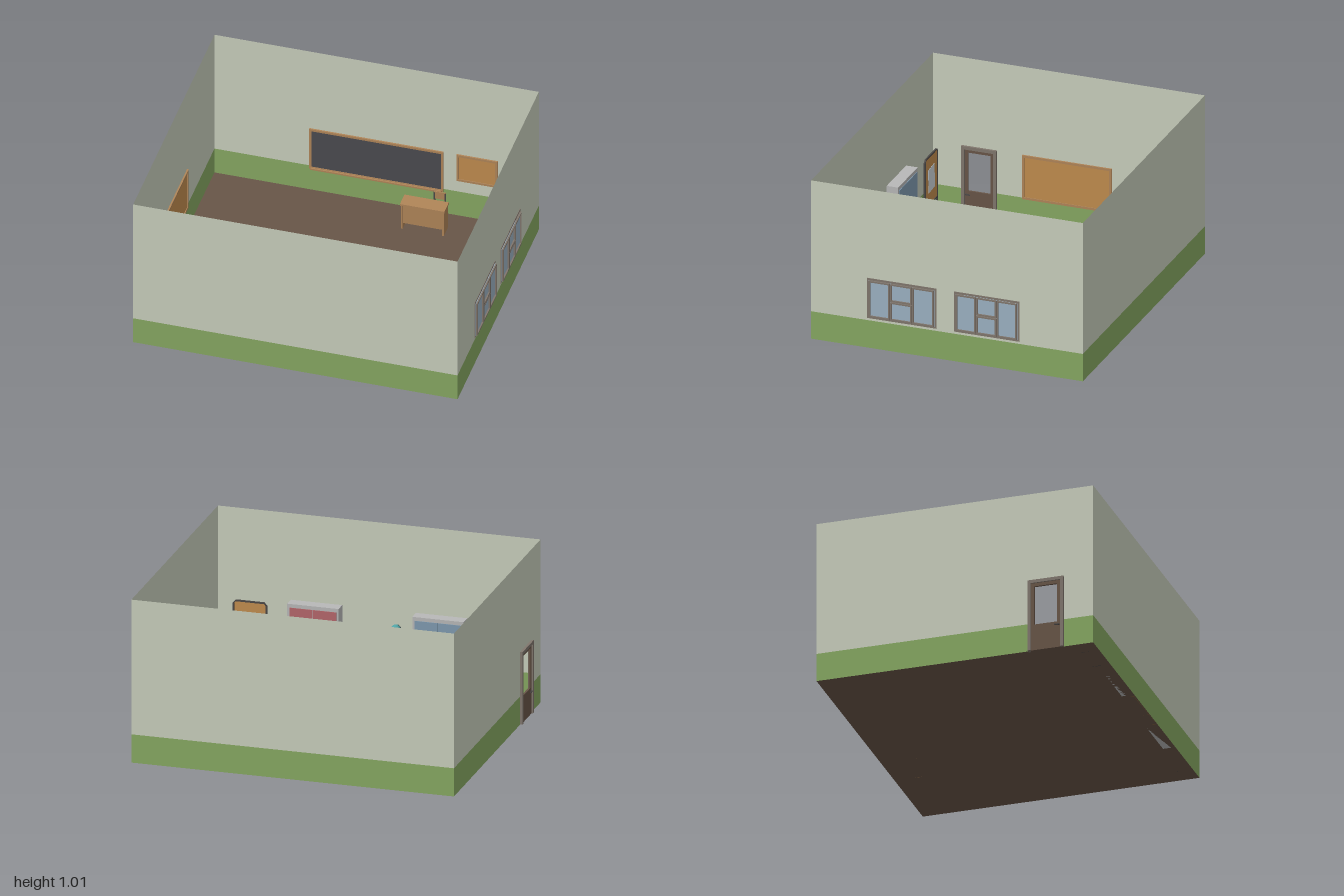
import * as THREE from 'three';

const WALL = 0xc8cebc, GREEN = 0x86a862, FLOOR = 0x685547, WOOD = 0xb08558, DARKWOOD = 0x80603f;
const CORK = 0xc08c4e, TRIM = 0x80766d, GLASS = 0x9cb2c2, METAL = 0x4a4746, PAPER = 0xccd3d8, GREY = 0xb8b8b8;
const HX = 0.985, HZ = 0.85, H = 1.01, DADO = 0.175;

const mats = {};
const mat = (c) => (mats[c] ??= new THREE.MeshStandardMaterial({ color: c, side: THREE.DoubleSide }));

function add(parent, name, geometry, color, x = 0, y = 0, z = 0) {
  const m = new THREE.Mesh(geometry, mat(color));
  m.name = name;
  m.position.set(x, y, z);
  parent.add(m);
  return m;
}

// Box given by its limits on each axis
function box(parent, name, color, x0, x1, y0, y1, z0, z1) {
  return add(parent, name, new THREE.BoxGeometry(x1 - x0, y1 - y0, z1 - z0), color,
    (x0 + x1) / 2, (y0 + y1) / 2, (z0 + z1) / 2);
}

function group(parent, name, x = 0, y = 0, z = 0, ry = 0) {
  const g = new THREE.Group();
  g.name = name;
  g.position.set(x, y, z);
  g.rotation.y = ry;
  parent.add(g);
  return g;
}

// Rectangular frame facing +z, with outer size w x h from the corner (x0, y0)
function frame(parent, name, color, x0, y0, w, h, t, z0, z1) {
  const s = new THREE.Shape().moveTo(x0, y0).lineTo(x0 + w, y0).lineTo(x0 + w, y0 + h).lineTo(x0, y0 + h).closePath();
  s.holes.push(new THREE.Path().moveTo(x0 + t, y0 + t).lineTo(x0 + t, y0 + h - t)
    .lineTo(x0 + w - t, y0 + h - t).lineTo(x0 + w - t, y0 + t).closePath());
  return add(parent, name, new THREE.ExtrudeGeometry(s, { depth: z1 - z0, bevelEnabled: false }), color, 0, 0, z0);
}

// Wall strip facing +z with a green lower band
function wallStrip(parent, a, b, y0 = 0) {
  const panel = (name, color, lo, hi) =>
    add(parent, name, new THREE.PlaneGeometry(b - a, hi - lo), color, (a + b) / 2, (lo + hi) / 2, 0);
  if (y0 < DADO) panel('wallBase', GREEN, y0, DADO);
  panel('wallUpper', WALL, Math.max(y0, DADO), H);
}

// Framed board on a wall, centred on x
function board(parent, name, w, y0, y1, face, tray) {
  const g = group(parent, name);
  frame(g, 'boardFrame', WOOD, -w / 2, y0, w, y1 - y0, 0.014, 0.002, 0.012);
  box(g, 'boardFace', face, -w / 2 + 0.012, w / 2 - 0.012, y0 + 0.012, y1 - 0.012, 0.002, 0.007);
  if (tray) box(g, 'chalkTray', WOOD, -w / 2 + 0.01, w / 2 - 0.01, y0, y0 + 0.01, 0.01, 0.022);
  return g;
}

// Window facing +z, spanning a..b: a flat surround and three projecting casements
function windowUnit(parent, a, b) {
  const g = group(parent, 'window');
  const y0 = 0.19, y1 = 0.445, m = 0.012, w = (b - a - 2 * m) / 3;
  frame(g, 'windowSurround', TRIM, a, y0, b - a, y1 - y0, m + 0.004, -0.008, 0.003);
  box(g, 'glass', GLASS, a + m, b - m, y0 + m, y1 - m, -0.004, 0.006);
  for (let i = 0; i < 3; i++) {
    const x = a + m + i * w + 0.002;
    const rows = i === 1 ? [[y0 + m, 0.317], [0.321, y1 - m]] : [[y0 + m, y1 - m]];
    for (const [lo, hi] of rows) frame(g, 'casement', TRIM, x, lo, w - 0.004, hi - lo, 0.009, -0.008, 0.015);
  }
}

// Door in its frame, facing +z, with an open upper light
function door(parent) {
  const g = group(parent, 'door', 0.56, 0, 0);
  for (const s of [-1, 1]) {
    box(g, 'doorJamb', TRIM, s * 0.1 - 0.01, s * 0.1 + 0.01, 0, 0.45, -0.015, 0.015);
    box(g, 'doorStile', FLOOR, s * 0.08 - 0.01, s * 0.08 + 0.01, 0, 0.43, -0.006, 0.006);
    box(g, 'handleLever', METAL, 0.055, 0.085, 0.14, 0.147, s * 0.013 - 0.003, s * 0.013 + 0.003);
  }
  box(g, 'doorHead', TRIM, -0.11, 0.11, 0.43, 0.45, -0.015, 0.015);
  box(g, 'doorPanel', FLOOR, -0.07, 0.07, 0, 0.165, -0.006, 0.006);
  box(g, 'doorTopRail', FLOOR, -0.07, 0.07, 0.41, 0.43, -0.006, 0.006);
  box(g, 'handlePin', METAL, 0.077, 0.085, 0.14, 0.147, -0.013, 0.013);
}

// Free-standing pin board, front toward +z
function standBoard(parent, x) {
  const g = group(parent, 'standBoard', x, 0, 0.78, Math.PI);
  const w = 0.104, c = 0.018;
  const outline = (k) => new THREE.Shape().moveTo(-w + k, 0.15 + k).lineTo(w - k, 0.15 + k).lineTo(w - k, 0.465 - c)
    .lineTo(w - c, 0.465 - k).lineTo(-w + c, 0.465 - k).lineTo(-w + k, 0.465 - c).closePath();
  const rim = outline(0);
  rim.holes.push(outline(0.009));
  add(g, 'boardRim', new THREE.ExtrudeGeometry(rim, { depth: 0.01, bevelEnabled: false }), METAL, 0, 0, -0.005);
  add(g, 'corkPanel', new THREE.ExtrudeGeometry(outline(0.009), { depth: 0.004, bevelEnabled: false }), CORK, 0, 0, -0.002);
  add(g, 'paper', new THREE.BoxGeometry(0.1, 0.15, 0.002), PAPER, 0, 0.31, 0.004).rotation.z = 0.08;
  for (const s of [-1, 1]) {
    box(g, 'standLeg', METAL, s * 0.1 - 0.004, s * 0.1 + 0.004, 0, 0.15, -0.005, 0.005);
    box(g, 'standFoot', METAL, s * 0.1 - 0.004, s * 0.1 + 0.004, 0, 0.01, -0.04, 0.04);
  }
}

// Two-door cupboard, front toward +z
function cupboard(parent, x, color) {
  const g = group(parent, 'cupboard', x, 0, 0.808, Math.PI);
  box(g, 'cupboardBody', GREY, -0.157, 0.157, 0, 0.475, -0.038, 0.034);
  for (const s of [-1, 1]) {
    add(g, 'cupboardDoor', new THREE.BoxGeometry(0.142, 0.425, 0.004), color, s * 0.072, 0.24, 0.036);
    box(g, 'cupboardHandle', METAL, s * 0.016 - 0.004, s * 0.016 + 0.004, 0.215, 0.25, 0.037, 0.042);
  }
  add(g, 'paper', new THREE.BoxGeometry(0.095, 0.075, 0.002), PAPER, -0.075, 0.17, 0.039).rotation.z = -0.12;
}

// Bookcase with rows of books, front toward +z
function bookcase(parent) {
  const g = group(parent, 'bookcase', 0, 0, 0.808, Math.PI);
  const colors = [0x8b4a42, 0x4a6480, 0xb59a5c, 0x55704f, 0x6b5575, 0xb0a898];
  box(g, 'bookcaseBack', DARKWOOD, -0.207, 0.207, 0, 0.31, -0.038, -0.032);
  for (const x of [-0.202, -0.067, 0.067, 0.202]) box(g, 'upright', DARKWOOD, x - 0.005, x + 0.005, 0, 0.31, -0.034, 0.036);
  for (const y of [0.01, 0.11, 0.21, 0.31]) box(g, 'shelf', DARKWOOD, -0.207, 0.207, y - 0.005, y + 0.005, -0.034, 0.038);
  for (let row = 0; row < 3; row++) {
    for (let i = 0; i < 24; i++) {
      const k = (i * 7 + row * 5) % 11;
      if (k === 3) continue;
      const x = -0.196 + Math.floor(i / 8) * 0.134 + (i % 8) * 0.0155, y = 0.015 + row * 0.1;
      box(g, 'book', colors[k % 6], x, x + 0.0135, y, y + 0.058 + (k % 5) * 0.006, -0.03, 0.02 + (k % 3) * 0.004);
    }
  }
}

function globe(parent) {
  const g = group(parent, 'globe', -0.115, 0.315, 0.805);
  add(g, 'globeBase', new THREE.CylinderGeometry(0.01, 0.022, 0.008, 16), METAL, 0, 0.004, 0);
  add(g, 'globeStem', new THREE.CylinderGeometry(0.003, 0.003, 0.02, 8), METAL, 0, 0.014, 0);
  const tilt = group(g, 'tiltedBall', 0, 0.058, 0);
  tilt.rotation.z = 0.4;
  add(tilt, 'ball', new THREE.SphereGeometry(0.031, 20, 14), 0x4fa3a5);
  add(tilt, 'meridian', new THREE.TorusGeometry(0.034, 0.002, 6, 24, Math.PI), METAL).rotation.z = Math.PI / 2;
}

function desk(parent) {
  const g = group(parent, 'desk', 0.34, 0, -0.678);
  box(g, 'deskTop', WOOD, -0.135, 0.135, 0.17, 0.182, -0.048, 0.048);
  for (const s of [-1, 1]) box(g, 'deskSide', WOOD, s * 0.125 - 0.005, s * 0.125 + 0.005, 0, 0.17, -0.043, 0.043);
  box(g, 'deskFront', WOOD, -0.12, 0.12, 0.04, 0.17, 0.03, 0.038);
  box(g, 'drawers', DARKWOOD, -0.12, -0.045, 0.05, 0.17, -0.04, 0.03);
  // Chair tucked in behind the desk
  const c = group(parent, 'chair', 0.405, 0, -0.742);
  box(c, 'chairSeat', WOOD, -0.036, 0.036, 0.1, 0.108, -0.032, 0.036);
  box(c, 'chairBack', WOOD, -0.036, 0.036, 0.155, 0.205, -0.038, -0.032);
  for (const x of [-0.033, 0.033]) {
    box(c, 'backLeg', METAL, x - 0.004, x + 0.004, 0, 0.2, -0.04, -0.032);
    box(c, 'frontLeg', METAL, x - 0.004, x + 0.004, 0, 0.1, 0.026, 0.034);
  }
}

export function createModel() {
  const root = new THREE.Group();
  root.name = 'classroom';
  add(root, 'floor', new THREE.PlaneGeometry(2 * HX, 2 * HZ).rotateX(-Math.PI / 2), FLOOR);

  // Front and back walls
  const front = group(root, 'frontWall', 0, 0, HZ), back = group(root, 'backWall', 0, 0, -HZ);
  wallStrip(front, -HX, HX);
  wallStrip(back, -HX, HX);
  board(back, 'blackboard', 0.815, 0.16, 0.45, 0x4b4b50, true);
  board(back, 'smallPinBoard', 0.25, 0.26, 0.45, CORK).position.x = 0.612;

  // Left wall with windows, seen from outside (local x runs toward -z)
  const left = group(root, 'leftWall', HX, 0, 0, Math.PI / 2);
  wallStrip(left, -HZ, HZ);
  windowUnit(left, -0.5, -0.065);
  windowUnit(left, 0.045, 0.455);

  // Right wall, seen from outside (local x runs toward +z)
  const right = group(root, 'rightWall', -HX, 0, 0, -Math.PI / 2);
  wallStrip(right, -HZ, 0.46);
  wallStrip(right, 0.66, HZ);
  wallStrip(right, 0.46, 0.66, 0.44);
  door(right);
  const pin = board(right, 'longPinBoard', 0.56, 0.17, 0.45, CORK);
  pin.position.x = 0.01;
  pin.rotation.y = Math.PI;

  // Furniture
  standBoard(root, 0.768);
  standBoard(root, -0.768);
  cupboard(root, 0.382, 0xb5666b);
  cupboard(root, -0.382, 0x7f9ab0);
  bookcase(root);
  globe(root);
  desk(root);
  return root;
}
